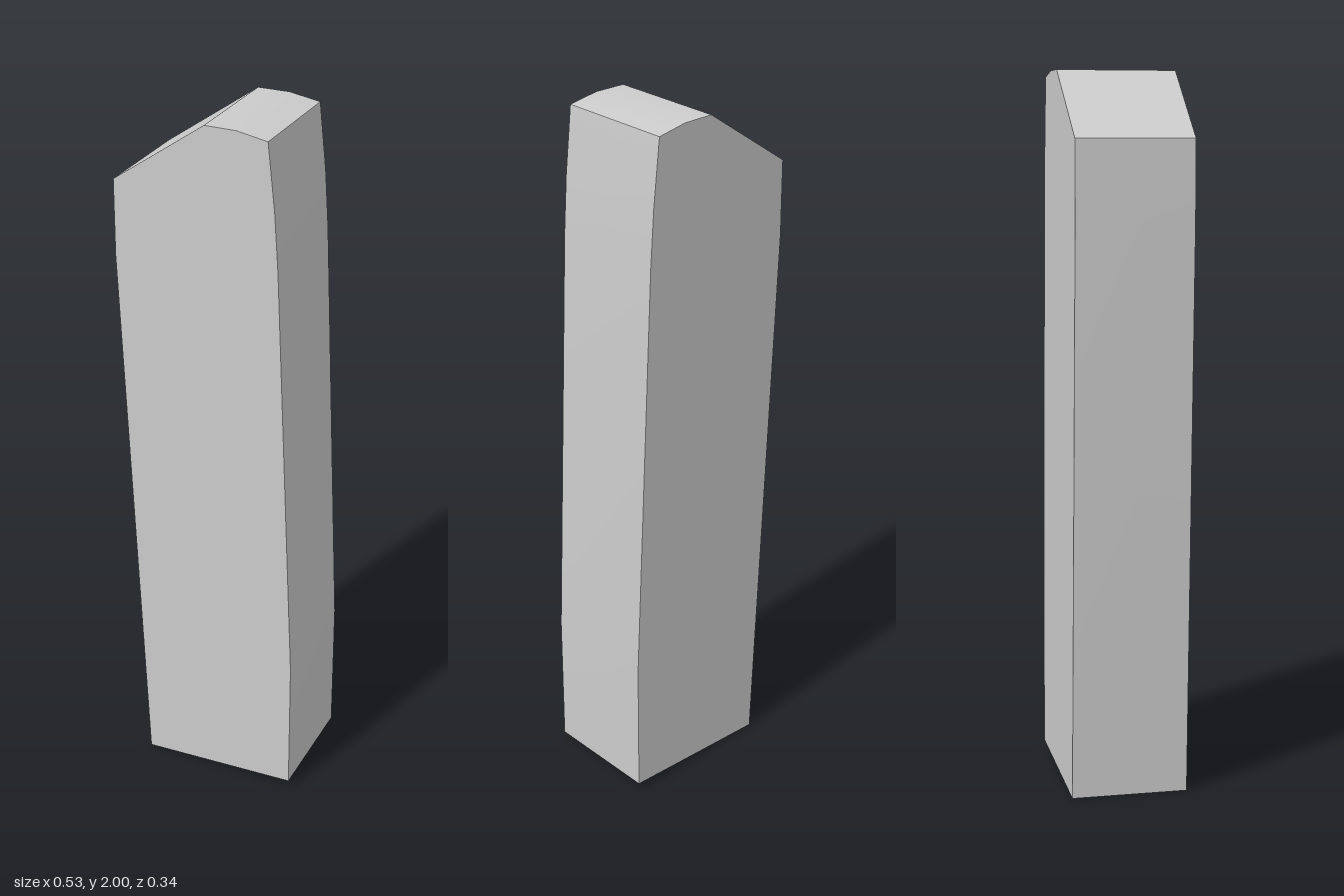
import * as THREE from 'three';
import { toCreasedNormals } from 'three/addons/utils/BufferGeometryUtils.js';

export function createModel() {
  const group = new THREE.Group();

  // Leaning slab outline with a sloped, blunted tip
  const outline = [
    [-0.195, 0], [0.263, 0.022], [0.263, 0.42], [0.208, 1.64], [0.197, 1.8], [0.177, 1.985],
    [0.09, 2], [0, 2], [-0.265, 1.815], [-0.265, 1.6],
  ].map(([x, y]) => new THREE.Vector2(x, y));

  const back = -0.169, front = 0.168;
  const geometry = new THREE.ExtrudeGeometry(new THREE.Shape(outline), {
    depth: front - back, bevelEnabled: false,
  });
  geometry.translate(0, 0, back);

  // Front face thins slightly toward the -x edge
  const p = geometry.attributes.position;
  for (let i = 0; i < p.count; i++) {
    if (p.getZ(i) > 0) p.setZ(i, front - 0.012 * Math.max(0, (0.177 - p.getX(i)) / 0.442));
  }

  const slab = new THREE.Mesh(
    toCreasedNormals(geometry, 0.35),
    new THREE.MeshStandardMaterial({ color: 0xcccccc }),
  );
  slab.name = 'slab';
  group.add(slab);
  return group;
}
